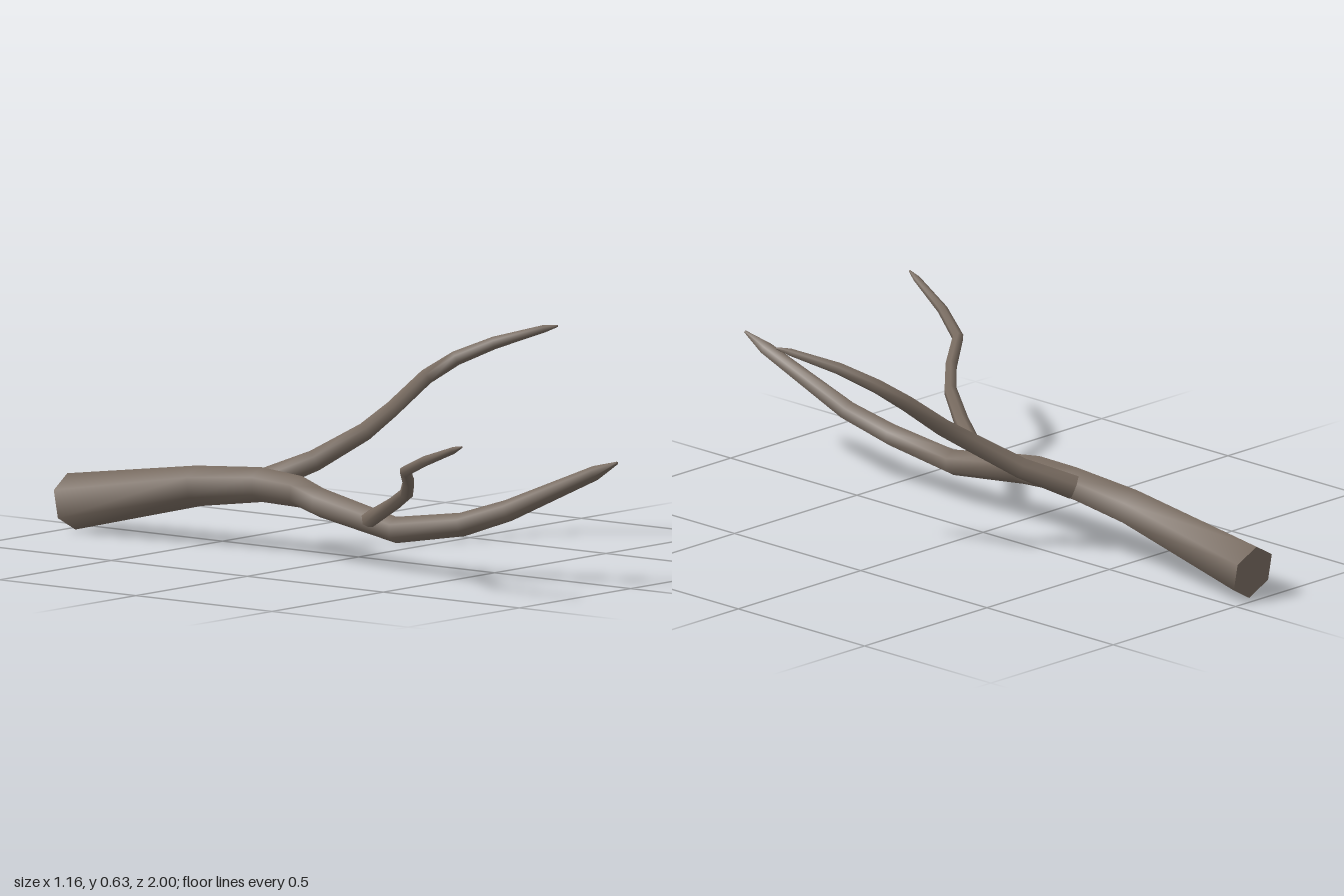
import * as THREE from 'three';

const SIDES = 6;

// Sweeps a tapering hexagonal limb through stations of [x, y, z, radius]
function limbGeometry(stations) {
  const points = stations.map(([x, y, z]) => new THREE.Vector3(x, y, z));
  const last = points.length - 1;
  const up = new THREE.Vector3(0, 1, 0);
  const positions = [], index = [];

  const addRing = (i) => {
    const first = positions.length / 3;
    const dir = new THREE.Vector3();
    if (i > 0) dir.add(points[i].clone().sub(points[i - 1]).normalize());
    if (i < last) dir.add(points[i + 1].clone().sub(points[i]).normalize());
    dir.normalize();
    const u = up.clone().addScaledVector(dir, -up.dot(dir)).normalize();
    const s = dir.clone().cross(u);
    for (let j = 0; j < SIDES; j++) {
      const a = (j / SIDES) * Math.PI * 2;
      const p = points[i].clone()
        .addScaledVector(u, Math.cos(a) * stations[i][3])
        .addScaledVector(s, Math.sin(a) * stations[i][3]);
      positions.push(p.x, p.y, p.z);
    }
    return first;
  };

  // Bark with smooth normals
  points.forEach((_, i) => addRing(i));
  for (let i = 0; i < last; i++) {
    for (let j = 0; j < SIDES; j++) {
      const k = (j + 1) % SIDES;
      const a = i * SIDES + j, b = i * SIDES + k;
      index.push(a, b, a + SIDES, b, b + SIDES, a + SIDES);
    }
  }

  // Flat ends with their own corners, so the rims stay sharp
  for (const i of [0, last]) {
    const f = addRing(i);
    for (let j = 1; j < SIDES - 1; j++) {
      if (i === 0) index.push(f, f + j + 1, f + j);
      else index.push(f, f + j, f + j + 1);
    }
  }

  const geometry = new THREE.BufferGeometry();
  geometry.setAttribute('position', new THREE.Float32BufferAttribute(positions, 3));
  geometry.setIndex(index);
  geometry.computeVertexNormals();
  return geometry;
}

export function createModel() {
  const group = new THREE.Group();
  group.name = 'branch';
  const bark = new THREE.MeshStandardMaterial({ color: 0x786b60 });
  bark.name = 'bark';

  const limbs = {
    // Thick stem running from the cut end at the back to the front tip
    mainStem: [
      [-0.085, 0.083, -0.986, 0.081],
      [-0.083, 0.17, -0.52, 0.058],
      [-0.08, 0.194, -0.29, 0.05],
      [-0.1, 0.19, -0.13, 0.046],
      [-0.127, 0.17, -0.03, 0.043],
      [-0.148, 0.121, 0.26, 0.038],
      [-0.132, 0.156, 0.49, 0.034],
      [-0.097, 0.205, 0.63, 0.031],
      [-0.062, 0.335, 0.92, 0.021],
      [-0.054, 0.37, 0.995, 0.004],
    ],
    // Side shoot rising to the left
    leftShoot: [
      [-0.045, 0.197, -0.317, 0.036],
      [0.06, 0.255, -0.21, 0.031],
      [0.165, 0.335, -0.112, 0.027],
      [0.25, 0.392, -0.083, 0.025],
      [0.355, 0.478, -0.042, 0.023],
      [0.415, 0.53, 0.018, 0.021],
      [0.475, 0.576, 0.11, 0.018],
      [0.555, 0.618, 0.227, 0.011],
      [0.577, 0.627, 0.26, 0.003],
    ],
    // Thinner side shoot rising to the right
    rightShoot: [
      [-0.165, 0.145, 0.175, 0.026],
      [-0.245, 0.21, 0.325, 0.022],
      [-0.31, 0.26, 0.43, 0.02],
      [-0.38, 0.305, 0.495, 0.018],
      [-0.475, 0.353, 0.56, 0.017],
      [-0.53, 0.398, 0.675, 0.015],
      [-0.574, 0.448, 0.82, 0.01],
      [-0.582, 0.461, 0.855, 0.003],
    ],
  };

  for (const [name, stations] of Object.entries(limbs)) {
    const mesh = new THREE.Mesh(limbGeometry(stations), bark);
    mesh.name = name;
    group.add(mesh);
  }
  return group;
}
